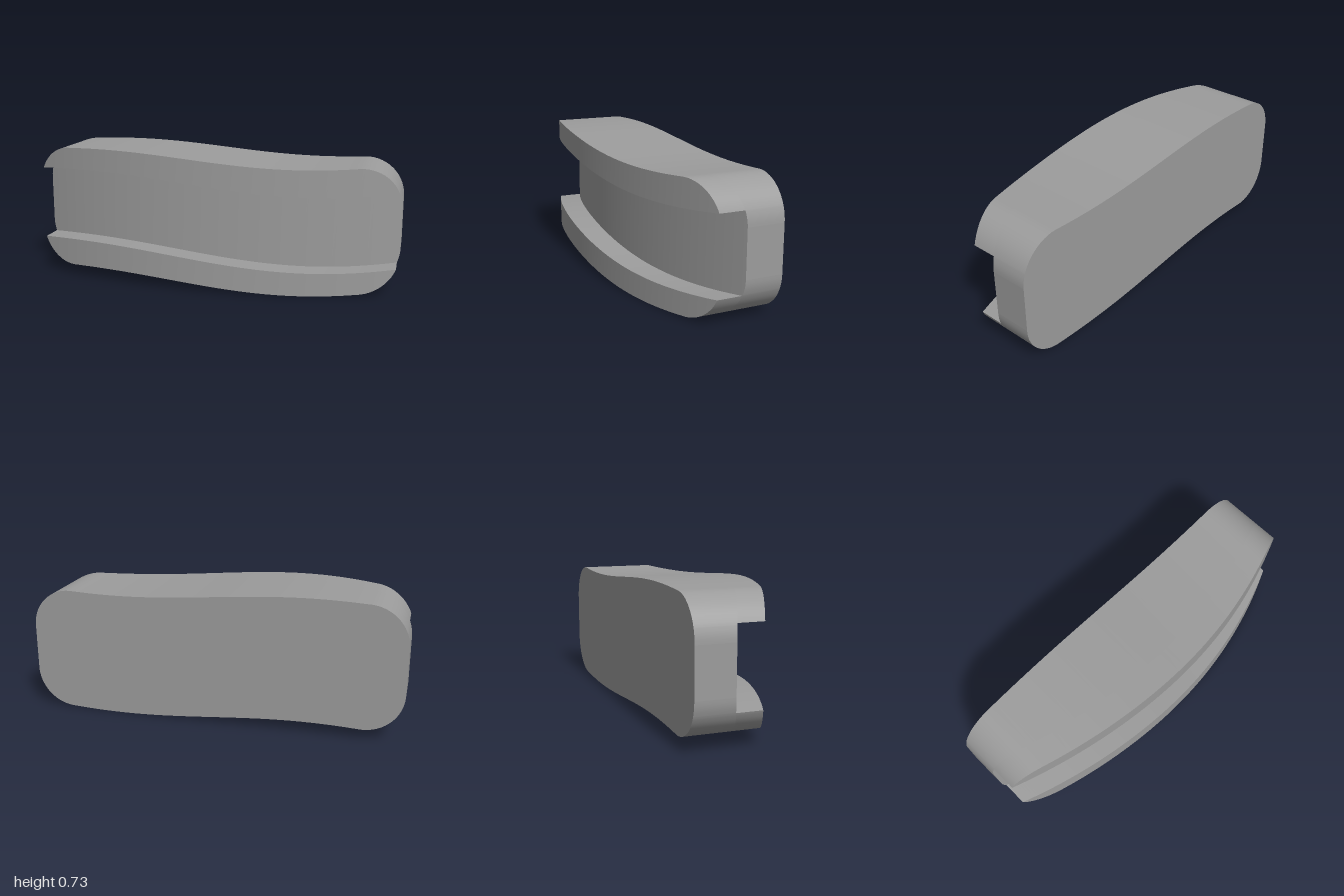
import * as THREE from 'three';

const BACK = -0.265, FRONT = 0.265, DEPTH = 0.133, R = 2.62, CORNER = 0.21, FLAT = 0.79;

// Wavy outline with rounded corners; dir is +1 for the top edge, -1 for the bottom
const edge = (mean, dir) => x => {
  const flat = Math.max(-FLAT, Math.min(FLAT, x)), t = Math.abs(x - flat);
  const drop = CORNER - Math.sqrt(Math.max(0, CORNER * CORNER - t * t));
  return mean - 0.0315 * Math.sin(2.9 * flat) - dir * drop;
};
const top = edge(0.697, 1), bottom = edge(0.032, -1);

// Wavy groove edges
const grooveTop = x => 0.566 - 0.0425 * Math.sin(2.53 * x);
const grooveBottom = x => grooveTop(x) - 0.4005;

// Bowed front and the groove floor behind it
const front = x => FRONT - R + Math.sqrt(R * R - x * x);
const floor = x => front(x) - DEPTH;
const back = () => BACK;

// Where a lip tapers away at the rounded corner
function lipEnd(height, side) {
  let lo = FLAT, hi = 1;
  for (let i = 0; i < 40; i++) {
    const mid = (lo + hi) / 2;
    if (height(side * mid) > 0) lo = mid; else hi = mid;
  }
  return side * lo;
}
const ends = h => [lipEnd(h, -1), lipEnd(h, 1)];
const upperEnds = ends(x => top(x) - grooveTop(x));
const lowerEnds = ends(x => grooveBottom(x) - bottom(x));

// Stations along x, closer together towards the rounded ends
const stations = [...upperEnds, ...lowerEnds];
for (let i = 0; i <= 80; i++) stations.push(-Math.cos(Math.PI * i / 80));
stations.sort((a, b) => a - b);

// Ruled surface between two lines, each given as y(x) and z(x)
function ribbon(name, material, [ya, za], [yb, zb], [from, to] = [-1, 1]) {
  const xs = stations.filter(x => x >= from && x <= to);
  const pos = [], index = [];
  xs.forEach((x, i) => {
    pos.push(x, ya(x), za(x), x, yb(x), zb(x));
    const k = 2 * i;
    if (i < xs.length - 1) index.push(k, k + 2, k + 3, k, k + 3, k + 1);
  });
  const geometry = new THREE.BufferGeometry();
  geometry.setAttribute('position', new THREE.Float32BufferAttribute(pos, 3));
  geometry.setIndex(index);
  geometry.computeVertexNormals();
  const mesh = new THREE.Mesh(geometry, material);
  mesh.name = name;
  return mesh;
}

export function createModel() {
  const model = new THREE.Group();
  model.name = 'groovedWavyBlock';
  const mat = new THREE.MeshStandardMaterial({ color: 0x9c9c9c });
  const floorTop = x => Math.min(top(x), grooveTop(x));
  const floorBottom = x => Math.max(bottom(x), grooveBottom(x));

  // Main body
  const body = new THREE.Group();
  body.name = 'body';
  body.add(
    ribbon('backFace', mat, [top, back], [bottom, back]),
    ribbon('topSide', mat, [top, floor], [top, back]),
    ribbon('bottomSide', mat, [bottom, back], [bottom, floor]),
    ribbon('grooveFloor', mat, [floorBottom, floor], [floorTop, floor]),
  );

  // Flat end walls
  for (const side of [-1, 1]) {
    const hi = top(side), lo = bottom(side), z = floor(side);
    const wall = new THREE.Mesh(new THREE.PlaneGeometry(z - BACK, hi - lo), mat);
    wall.position.set(side, (hi + lo) / 2, (z + BACK) / 2);
    wall.rotation.y = side * Math.PI / 2;
    wall.name = side > 0 ? 'leftEnd' : 'rightEnd';
    body.add(wall);
  }

  // Lip above the groove
  const upperLip = new THREE.Group();
  upperLip.name = 'upperLip';
  upperLip.add(
    ribbon('upperLipFront', mat, [grooveTop, front], [top, front], upperEnds),
    ribbon('upperLipTop', mat, [top, front], [top, floor], upperEnds),
    ribbon('upperGrooveWall', mat, [grooveTop, floor], [grooveTop, front], upperEnds),
  );

  // Lip below the groove
  const lowerLip = new THREE.Group();
  lowerLip.name = 'lowerLip';
  lowerLip.add(
    ribbon('lowerLipFront', mat, [bottom, front], [grooveBottom, front], lowerEnds),
    ribbon('lowerLipBottom', mat, [bottom, floor], [bottom, front], lowerEnds),
    ribbon('lowerGrooveWall', mat, [grooveBottom, front], [grooveBottom, floor], lowerEnds),
  );

  model.add(body, upperLip, lowerLip);
  return model;
}
